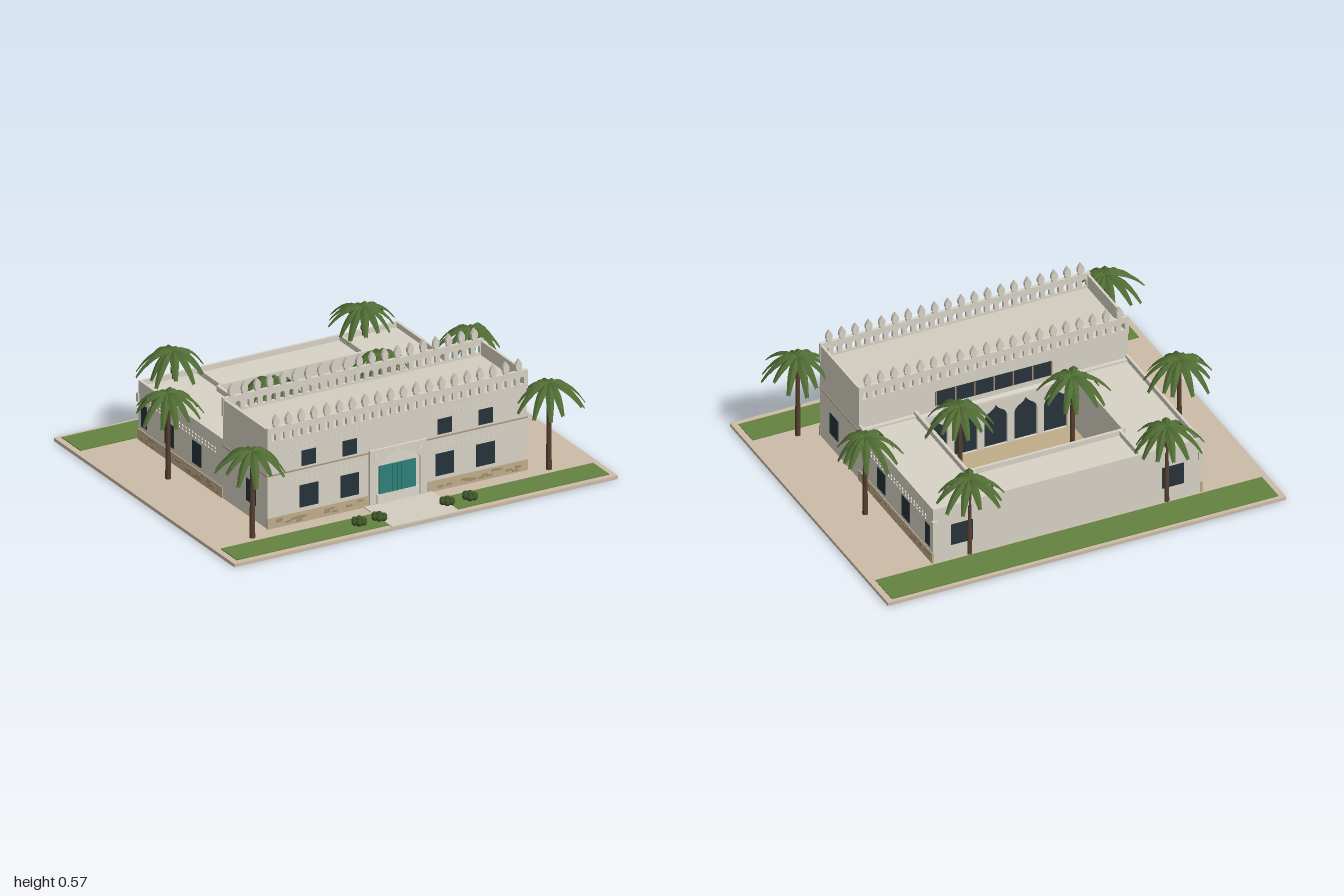
import * as THREE from 'three';

const mat = (color, extra = {}) => new THREE.MeshStandardMaterial({ color, ...extra });
const M = {
  wall: mat(0xd8d2c5), roof: mat(0xd2cdbf), trim: mat(0xddd8cc), site: mat(0xcbbca6), paving: mat(0xbfac88),
  lawn: mat(0x64823f), stone: mat(0xbfac8b), patch: mat(0xa48f70), glass: mat(0x26323a), door: mat(0x2f8079),
  water: mat(0x3393ab), cord: mat(0xa8937a), trunk: mat(0x57402f, { flatShading: true }),
  bush: mat(0x3b5228, { flatShading: true }),
  frond: mat(0x4f6b33, { flatShading: true, side: THREE.DoubleSide }),
};
let seed = 7;
const rnd = () => (seed = (seed * 16807) % 2147483647) / 2147483647;

function add(parent, name, geometry, material) {
  const mesh = new THREE.Mesh(geometry, material);
  mesh.name = name;
  parent.add(mesh);
  return mesh;
}
// Box given by its limits on each axis
function box(parent, name, material, x0, x1, y0, y1, z0, z1) {
  const g = new THREE.BoxGeometry(Math.abs(x1 - x0), y1 - y0, Math.abs(z1 - z0));
  const m = add(parent, name, g, material);
  m.position.set((x0 + x1) / 2, (y0 + y1) / 2, (z0 + z1) / 2);
  return m;
}
function group(parent, name) {
  const g = new THREE.Group();
  g.name = name;
  parent.add(g);
  return g;
}
// Pointed ogee opening, usable as a hole or a panel
function ogee(path, x, w, y0, spring, top) {
  const h = top - spring;
  path.moveTo(x - w, y0);
  path.lineTo(x + w, y0);
  path.lineTo(x + w, spring);
  path.bezierCurveTo(x + w * 0.9, spring + h * 0.6, x + w * 0.25, spring + h * 0.5, x, top);
  path.bezierCurveTo(x - w * 0.25, spring + h * 0.5, x - w * 0.9, spring + h * 0.6, x - w, spring);
  path.closePath();
  return path;
}
const extrude = (shape, depth) => new THREE.ExtrudeGeometry(shape, { depth, bevelEnabled: false, curveSegments: 6 });

// Parapet with a row of slots and a crest of bulbous merlons
function crestedParapet(parent, name, z) {
  const s = new THREE.Shape(), top = 0.512;
  s.moveTo(-0.678, 0.42);
  s.lineTo(0.678, 0.42);
  s.lineTo(0.678, top);
  for (let i = 19; i >= 0; i--) {
    const x = (i - 9.5) * 0.0665;
    const half = [[0.012, 0], [0.01, 0.008], [0.016, 0.016], [0.016, 0.034], [0.009, 0.048]];
    half.forEach(([w, h]) => s.lineTo(x + w, top + h));
    s.lineTo(x, top + 0.06);
    half.reverse().forEach(([w, h]) => s.lineTo(x - w, top + h));
  }
  s.lineTo(-0.678, top);
  for (let i = 0; i < 29; i++) {
    const x = (i - 14) * 0.0462, hole = new THREE.Path();
    hole.moveTo(x - 0.011, 0.445);
    hole.lineTo(x - 0.011, 0.471);
    hole.absarc(x, 0.471, 0.011, Math.PI, 0, true);
    hole.lineTo(x + 0.011, 0.445);
    s.holes.push(hole);
  }
  add(parent, name, extrude(s, 0.016), M.wall).position.z = z;
}

// Small diamond ornaments along a wall; place(t, y) gives position
function frieze(parent, name, count, y, alongZ, place) {
  for (let i = 0; i < count; i++) for (const dy of [-0.009, 0.009]) {
    const m = add(parent, name, new THREE.BoxGeometry(0.012, 0.012, 0.007), M.trim);
    m.position.copy(place(i / (count - 1), y + dy));
    m.rotation.set(0, alongZ ? Math.PI / 2 : 0, Math.PI / 4, 'YXZ');
  }
}

function palm(parent, x, z, top) {
  const p = group(parent, 'palm');
  p.position.set(x, 0, z);
  add(p, 'palmTrunk', new THREE.CylinderGeometry(0.009, 0.014, top - 0.005, 8, 6), M.trunk).position.y = (top - 0.005) / 2 + 0.005;
  const turn = rnd() * 6;
  for (let i = 0; i < 13; i++) {
    const len = 0.13 + 0.05 * rnd(), droop = 0.07 + 0.05 * rnd(), N = 6, pos = [], idx = [];
    // Arched ribbon with a raised midrib
    for (let k = 0; k <= N; k++) {
      const t = k / N, w = 0.006 + 0.014 * Math.sin(Math.PI * Math.min(1, t * 0.85 + 0.1));
      const y = 0.07 * t - (droop + 0.07) * t * t + 0.01, r = len * t;
      pos.push(r, y - w * 0.7, -w, r, y, 0, r, y - w * 0.7, w);
      if (k < N) for (const j of [0, 1]) {
        const a = k * 3 + j;
        idx.push(a, a + 1, a + 3, a + 1, a + 4, a + 3);
      }
    }
    const g = new THREE.BufferGeometry();
    g.setAttribute('position', new THREE.Float32BufferAttribute(pos, 3));
    g.setIndex(idx);
    g.computeVertexNormals();
    const f = add(p, 'palmFrond', g, M.frond);
    f.position.y = top;
    f.rotation.y = turn + (i / 13) * Math.PI * 2 + (rnd() - 0.5) * 0.2;
  }
}

export function createModel() {
  const root = new THREE.Group();
  root.name = 'courtyardHouse';
  const G = 0.016;

  // Grounds
  const grounds = group(root, 'grounds');
  box(grounds, 'sitePlate', M.site, -1, 1, 0, G, -0.82, 0.82);
  box(grounds, 'backLawn', M.lawn, -0.97, 0.97, G, 0.02, -0.8, -0.63);
  for (const s of [-1, 1]) box(grounds, 'frontLawn', M.lawn, s * 0.178, s * 0.97, G, 0.02, 0.645, 0.79);
  box(grounds, 'entrancePath', M.roof, -0.177, 0.177, G, 0.021, 0.555, 0.818);
  box(grounds, 'courtyardPaving', M.paving, -0.385, 0.385, G, 0.019, -0.33, 0.13);
  box(grounds, 'poolRim', M.trim, -0.185, 0.185, G, 0.024, -0.237, -0.01);
  box(grounds, 'poolWater', M.water, -0.17, 0.17, 0.02, 0.026, -0.215, -0.028);

  // Two-storey front block
  const front = group(root, 'frontBlock');
  box(front, 'frontWalls', M.wall, -0.675, 0.675, G, 0.43, 0.15, 0.555);
  box(front, 'frontRoof', M.roof, -0.67, 0.67, 0.43, 0.434, 0.15, 0.555);
  crestedParapet(front, 'frontParapet', 0.546);
  crestedParapet(front, 'rearParapet', 0.144);
  for (const s of [-1, 1]) {
    box(front, 'endParapet', M.wall, s * 0.663, s * 0.675, 0.43, 0.503, 0.15, 0.555);
    box(front, 'stringCourse', M.cord, s * 0.15, s * 0.679, 0.273, 0.279, 0.55, 0.559);
    box(front, 'sideStringCourse', M.cord, s * 0.67, s * 0.679, 0.273, 0.279, 0.15, 0.559);
    box(front, 'frontStoneBase', M.stone, s * 0.15, s * 0.678, G, 0.068, 0.55, 0.561);
    for (let i = 0; i < 16; i++) {
      const x = 0.18 + 0.46 * rnd(), y = 0.022 + 0.03 * rnd();
      box(front, 'baseStone', M.patch, s * x, s * (x + 0.03), y, y + 0.011, 0.555, 0.563);
    }
    for (const x of [0.247, 0.46]) {
      box(front, 'lowerWindow', M.glass, s * (x - 0.048), s * (x + 0.048), 0.087, 0.196, 0.55, 0.558);
      box(front, 'upperWindow', M.glass, s * (x - 0.037), s * (x + 0.037), 0.29, 0.365, 0.55, 0.558);
    }
    for (const y of [0.232, 0.395])
      frieze(front, 'frontFrieze', 15, y, false, (t, h) => new THREE.Vector3(s * (0.19 + 0.36 * t), h, 0.555));
    box(front, 'endWindow', M.glass, s * 0.67, s * 0.678, 0.09, 0.2, 0.366, 0.45);
  }

  // Entrance portal with ogee arch
  const portal = group(root, 'portal');
  const surround = new THREE.Shape([[-0.148, G], [0.148, G], [0.148, 0.288], [-0.148, 0.288]].map(([x, y]) => new THREE.Vector2(x, y)));
  surround.holes.push(ogee(new THREE.Path(), 0, 0.115, 0.02, 0.205, 0.282));
  add(portal, 'portalSurround', extrude(surround, 0.014), M.wall).position.z = 0.553;
  add(portal, 'archPanel', extrude(ogee(new THREE.Shape(), 0, 0.115, 0.02, 0.205, 0.282), 0.004), M.trim).position.z = 0.554;
  box(portal, 'door', M.door, -0.098, 0.092, 0.066, 0.203, 0.555, 0.564);
  for (let i = 1; i < 8; i++) {
    const x = -0.098 + 0.19 * i / 8;
    box(portal, 'doorBatten', M.door, x - 0.002, x + 0.002, 0.066, 0.203, 0.56, 0.566);
  }
  box(portal, 'doorStep', M.trim, -0.11, 0.11, G, 0.066, 0.555, 0.568);
  for (const s of [-1, 1]) {
    const r = add(portal, 'portalRosette', new THREE.CylinderGeometry(0.012, 0.012, 0.005, 12), M.trim);
    r.rotation.x = Math.PI / 2;
    r.position.set(s * 0.115, 0.255, 0.568);
  }

  // Single-storey wings around the courtyard, roofs sunk behind parapets
  const wings = group(root, 'wings');
  const H = 0.306, R = 0.28;
  for (const s of [-1, 1]) {
    box(wings, 'sideWing', M.wall, s * 0.39, s * 0.675, G, R, -0.615, 0.15);
    box(wings, 'outerParapet', M.wall, s * 0.662, s * 0.675, R, H, -0.615, 0.15);
    box(wings, 'innerParapet', M.wall, s * 0.384, s * 0.4, G, H, -0.39, 0.15);
    box(wings, 'roofDivider', M.wall, s * 0.365, s * 0.378, R, H, -0.605, -0.385);
    box(wings, 'frontRoofKerb', M.wall, s * 0.39, s * 0.665, R, 0.29, 0.13, 0.15);
    box(wings, 'sideStoneBase', M.stone, s * 0.67, s * 0.68, G, 0.07, -0.618, 0.15);
    for (let i = 0; i < 26; i++) {
      const z = -0.6 + 0.7 * rnd(), y = 0.022 + 0.033 * rnd();
      box(wings, 'baseStone', M.patch, s * 0.676, s * 0.682, y, y + 0.011, z, z + 0.033);
    }
    for (const z of [-0.085, -0.335, -0.563])
      box(wings, 'sideWindow', M.glass, s * 0.67, s * 0.678, 0.09, 0.2, z - (z < -0.5 ? 0.024 : 0.041), z + (z < -0.5 ? 0.024 : 0.041));
    frieze(wings, 'sideFrieze', 22, 0.226, true, (t, h) => new THREE.Vector3(s * 0.676, h, 0.08 - 0.62 * t));
    box(wings, 'backWindow', M.glass, s * 0.475, s * 0.585, 0.09, 0.2, -0.618, -0.61);
    box(wings, 'cornerPanel', M.wall, s * 0.655, s * 0.681, 0.2, 0.243, -0.628, -0.61);
  }
  box(wings, 'backWing', M.wall, -0.39, 0.39, G, R, -0.615, -0.388);
  box(wings, 'backParapet', M.wall, -0.675, 0.675, R, H, -0.618, -0.605);
  box(wings, 'courtParapet', M.wall, -0.385, 0.385, R, H, -0.4, -0.386);

  // Courtyard arcade with dark glazing behind, strip window above
  const arcade = group(root, 'arcade');
  const screen = new THREE.Shape([[-0.385, G], [0.385, G], [0.385, 0.27], [-0.385, 0.27]].map(([x, y]) => new THREE.Vector2(x, y)));
  for (let i = 0; i < 5; i++) screen.holes.push(ogee(new THREE.Path(), (i - 2) * 0.15, 0.058, 0.02, 0.17, 0.24));
  add(arcade, 'arcadeScreen', extrude(screen, 0.012), M.wall).position.z = 0.125;
  box(arcade, 'arcadeGlazing', M.glass, -0.384, 0.384, G, 0.265, 0.142, 0.149);
  box(arcade, 'arcadeCornice', M.trim, -0.385, 0.385, 0.265, 0.276, 0.12, 0.15);
  box(arcade, 'stripWindow', M.glass, -0.29, 0.29, 0.305, 0.38, 0.146, 0.152);
  for (let i = 0; i < 7; i++) {
    const x = -0.29 + 0.58 * i / 6;
    box(arcade, 'windowMullion', M.patch, x - 0.003, x + 0.003, 0.305, 0.38, 0.143, 0.15);
  }

  // Planting
  const planting = group(root, 'planting');
  const palms = [[-0.5, -0.61, 0.405], [0.49, -0.61, 0.405], [-0.78, -0.165, 0.425], [0.773, -0.115, 0.425],
    [-0.29, -0.07, 0.42], [0.28, -0.08, 0.42], [-0.78, 0.6, 0.43], [0.765, 0.6, 0.43]];
  palms.forEach(([x, z, top]) => palm(planting, x, z, top));
  for (const x of [-0.29, -0.185, 0.168, 0.287]) {
    const bush = group(planting, 'bush');
    bush.position.set(x, 0.018, 0.717);
    for (let i = 0; i < 7; i++) {
      const a = i / 6 * Math.PI * 2, r = i < 6 ? 0.023 : 0;
      const leaf = add(bush, 'bushClump', new THREE.IcosahedronGeometry(0.016, 1), M.bush);
      leaf.position.set(r * Math.cos(a), i < 6 ? 0.012 + 0.008 * rnd() : 0.026, r * Math.sin(a));
    }
  }
  return root;
}
